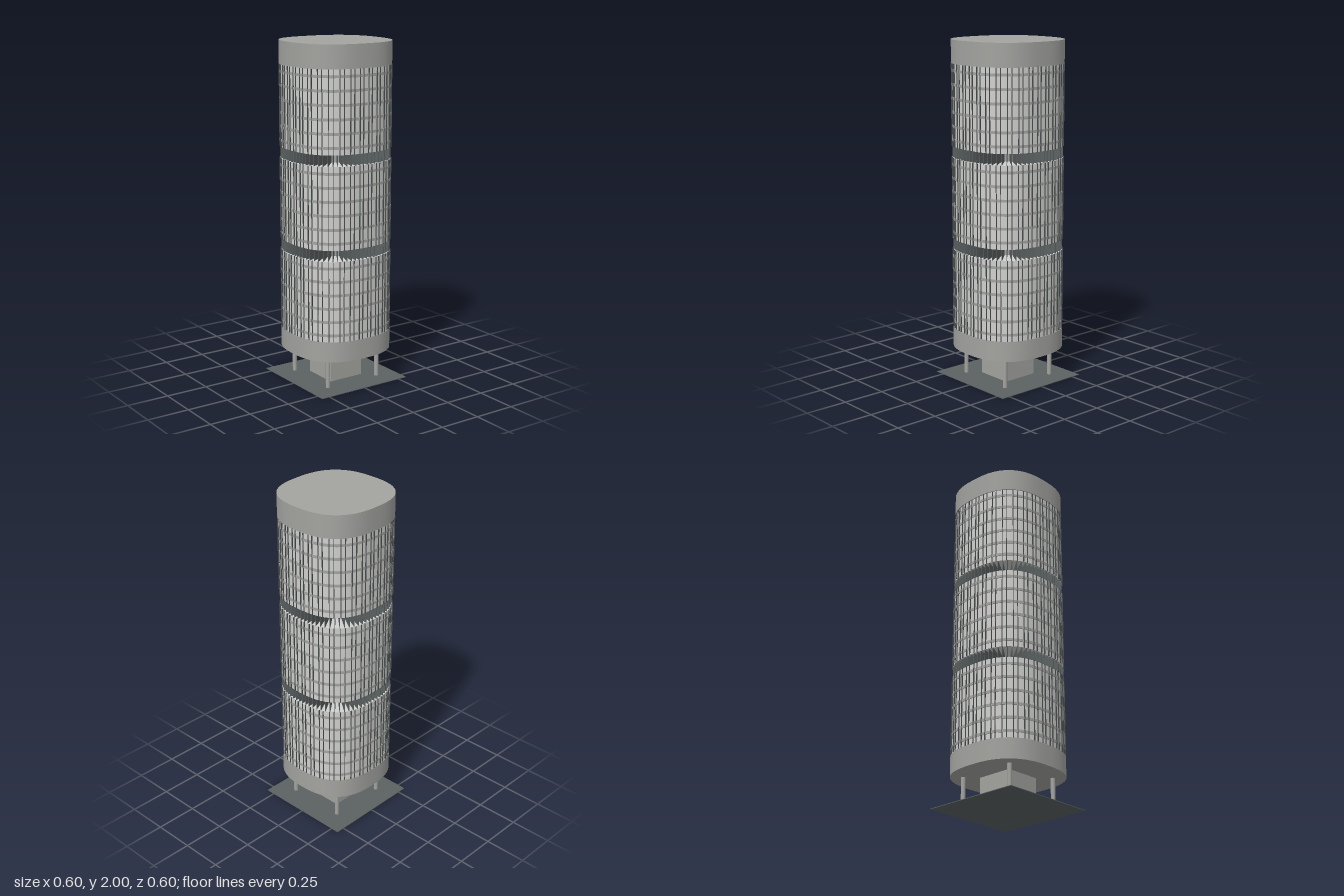
import * as THREE from 'three';
import { mergeGeometries, toCreasedNormals } from 'three/addons/utils/BufferGeometryUtils.js';

const HALF = 0.302, POWER = 2.56;

// Radius of the rounded-square floor plan at an angle measured from +z
const planRadius = (t) =>
  HALF / Math.pow(Math.abs(Math.sin(t)) ** POWER + Math.abs(Math.cos(t)) ** POWER, 1 / POWER);

// Heading of the outward normal of the floor plan
function planNormal(t) {
  const s = Math.sin(t), c = Math.cos(t);
  return Math.atan2(Math.sign(s) * Math.abs(s) ** (POWER - 1), Math.sign(c) * Math.abs(c) ** (POWER - 1));
}

// Closed slice of the tower between two heights
function slice(scale, y0, y1) {
  const g = new THREE.CylinderGeometry(1, 1, y1 - y0, 128);
  const p = g.attributes.position;
  for (let i = 0; i < p.count; i++) {
    const x = p.getX(i), z = p.getZ(i);
    const r = planRadius(Math.atan2(x, z)) * scale;
    p.setX(i, x * r);
    p.setZ(i, z * r);
  }
  g.translate(0, (y0 + y1) / 2, 0);
  return toCreasedNormals(g, 0.7);
}

export function createModel() {
  const model = new THREE.Group();
  const concrete = new THREE.MeshStandardMaterial({ color: 0xa3a3a0 });
  const panel = new THREE.MeshStandardMaterial({ color: 0xd0d0ce });
  const dark = new THREE.MeshStandardMaterial({ color: 0x5c6262 });
  const joint = new THREE.MeshStandardMaterial({ color: 0x4a4e4e });

  const add = (name, geometry, material) => {
    const mesh = new THREE.Mesh(geometry, material);
    mesh.name = name;
    model.add(mesh);
    return mesh;
  };

  // Ground plate, entrance core and four columns
  add('groundPlate', new THREE.BoxGeometry(0.604, 0.004, 0.604).translate(0, 0.002, 0), dark);
  add('entranceCore', new THREE.BoxGeometry(0.22, 0.182, 0.22).translate(0, 0.095, 0), concrete);
  for (const x of [-0.176, 0.176]) for (const z of [-0.176, 0.176]) {
    add('column', new THREE.CylinderGeometry(0.013, 0.013, 0.182, 20).translate(x, 0.095, z), concrete);
  }

  // Solid bands at the foot and the crown
  add('lowerBand', slice(0.995, 0.185, 0.305), concrete);
  add('crown', slice(0.995, 1.865, 2), concrete);

  // Three office sections of six floors
  const BAYS = 32, FLOORS = 6;
  for (const [y0, y1] of [[0.305, 0.78], [0.845, 1.325], [1.39, 1.865]]) {
    add('windowPanels', slice(0.98, y0, y1), panel);

    const strips = [];
    const floor = (y1 - y0) / FLOORS;
    for (let i = 0; i < FLOORS; i++) {
      const y = y0 + (i + 0.5) * floor;
      strips.push(slice(0.992, y - 0.008, y + 0.008));
    }
    add('floorStrips', mergeGeometries(strips), concrete);

    // Vertical joints in pairs, a wide and a narrow panel per bay
    const joints = [];
    for (let i = 0; i < BAYS; i++) for (const shift of [0.3, 0.7]) {
      const t = ((i + shift) / BAYS) * Math.PI * 2, r = planRadius(t) - 0.005;
      joints.push(new THREE.BoxGeometry(0.004, y1 - y0, 0.009)
        .rotateY(planNormal(t))
        .translate(Math.sin(t) * r, (y0 + y1) / 2, Math.cos(t) * r));
    }
    add('verticalJoints', mergeGeometries(joints), joint);
  }

  // Two open service floors: inner core with radial louvres
  const LOUVRES = 72;
  for (const [y0, y1] of [[0.78, 0.845], [1.325, 1.39]]) {
    add('serviceCore', slice(0.56, y0, y1), concrete);
    const fins = [];
    for (let i = 0; i < LOUVRES; i++) {
      const t = ((i + 0.5) / LOUVRES) * Math.PI * 2;
      const outer = planRadius(t) * 0.98, inner = planRadius(t) * 0.55;
      fins.push(new THREE.BoxGeometry(0.003, y1 - y0, outer - inner)
        .translate(0, (y0 + y1) / 2, (outer + inner) / 2)
        .rotateY(t));
    }
    add('serviceLouvres', mergeGeometries(fins), dark);
  }

  return model;
}
